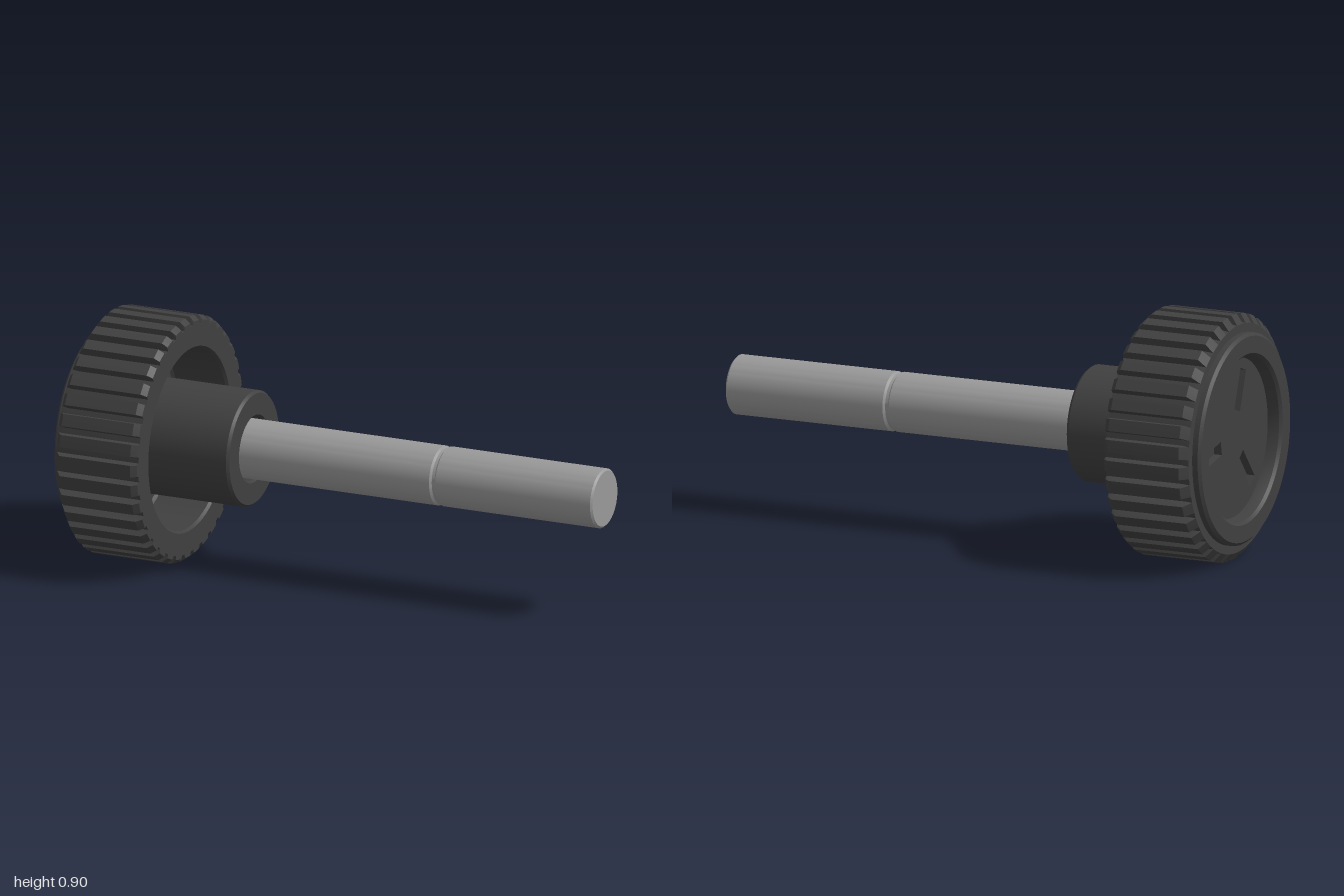
import * as THREE from 'three';
import { toCreasedNormals } from 'three/addons/utils/BufferGeometryUtils.js';

const R = 0.448; // outer radius of the knob
const TEETH = 37;

// Revolve [radius, x] pairs around the x axis
function turned(profile, segments = 96) {
  const points = profile.map(([r, x]) => new THREE.Vector2(r, x));
  const geometry = new THREE.LatheGeometry(points, segments).rotateZ(-Math.PI / 2);
  return toCreasedNormals(geometry, 0.5);
}

// Toothed grip: one gear outline swept through stations along x, clipped to each tip radius
function gripGeometry() {
  const step = (Math.PI * 2) / TEETH;
  const root = 0.418;
  const tooth = [[-0.36, root], [-0.29, R], [0, R], [0.29, R], [0.36, root], [0.5, root]];
  const outline = [];
  for (let i = 0; i < TEETH; i++) {
    for (const [a, r] of tooth) outline.push([(i + a) * step, r]);
  }
  const stations = [[-0.97, 0.39], [-0.97, 0.415], [-0.945, R], [-0.665, R], [-0.645, 0.432], [-0.645, 0.39]];
  const positions = [];
  const index = [];
  const n = outline.length;
  for (const [x, tip] of stations) {
    for (const [a, r] of outline) {
      const q = Math.min(r, tip);
      positions.push(x, q * Math.sin(a), q * Math.cos(a));
    }
  }
  for (let s = 0; s < stations.length - 1; s++) {
    for (let i = 0; i < n; i++) {
      const a = s * n + i;
      const b = s * n + ((i + 1) % n);
      index.push(a, a + n, b, b, a + n, b + n);
    }
  }
  const geometry = new THREE.BufferGeometry();
  geometry.setAttribute('position', new THREE.Float32BufferAttribute(positions, 3));
  geometry.setIndex(index);
  return toCreasedNormals(geometry, 0.4);
}

// Recessed end disc with three radial slots
function discGeometry() {
  const shape = new THREE.Shape().absarc(0, 0, 0.295, 0, Math.PI * 2);
  for (let i = 0; i < 3; i++) {
    const angle = THREE.MathUtils.degToRad(70 + i * 120);
    const corners = [[0.1, -0.025], [0.1, 0.025], [0.25, 0.025], [0.25, -0.025]];
    const slot = corners.map(([x, y]) =>
      new THREE.Vector2(x, y).rotateAround(new THREE.Vector2(), angle));
    shape.holes.push(new THREE.Path(slot));
  }
  return new THREE.ExtrudeGeometry(shape, { depth: 0.03, bevelEnabled: false, curveSegments: 48 })
    .rotateY(-Math.PI / 2)
    .translate(-0.92, 0, 0);
}

export function createModel() {
  const model = new THREE.Group();
  model.name = 'knobWithShaft';
  const plastic = new THREE.MeshStandardMaterial({ color: 0x404040 });
  const steel = new THREE.MeshStandardMaterial({ color: 0x999999 });

  const add = (name, geometry, material) => {
    const mesh = new THREE.Mesh(geometry, material);
    mesh.name = name;
    mesh.position.y = R;
    model.add(mesh);
  };

  // Knob body: dished end, hollow inner side and central hub with a bore
  add('knobBody', turned([
    [0, -0.92], [0.29, -0.92], [0.29, -0.95], [0.3, -0.99], [0.31, -1],
    [0.372, -1], [0.383, -0.99], [0.383, -0.969], [0.4, -0.969], [0.4, -0.645],
    [0.338, -0.645], [0.33, -0.655], [0.325, -0.85], [0.315, -0.86],
    [0.22, -0.86], [0.21, -0.85], [0.21, -0.4], [0.202, -0.39],
    [0.124, -0.39], [0.117, -0.4], [0.117, -0.45], [0, -0.45],
  ]), plastic);
  add('toothedGrip', gripGeometry(), plastic);
  add('slottedDisc', discGeometry(), plastic);

  // Shaft with a shallow ring groove and a chamfered tip
  add('shaft', turned([
    [0, -0.45], [0.108, -0.45], [0.108, 0.355], [0.1, 0.362], [0.1, 0.373],
    [0.108, 0.38], [0.108, 0.993], [0.101, 1], [0, 1],
  ], 64), steel);

  return model;
}
